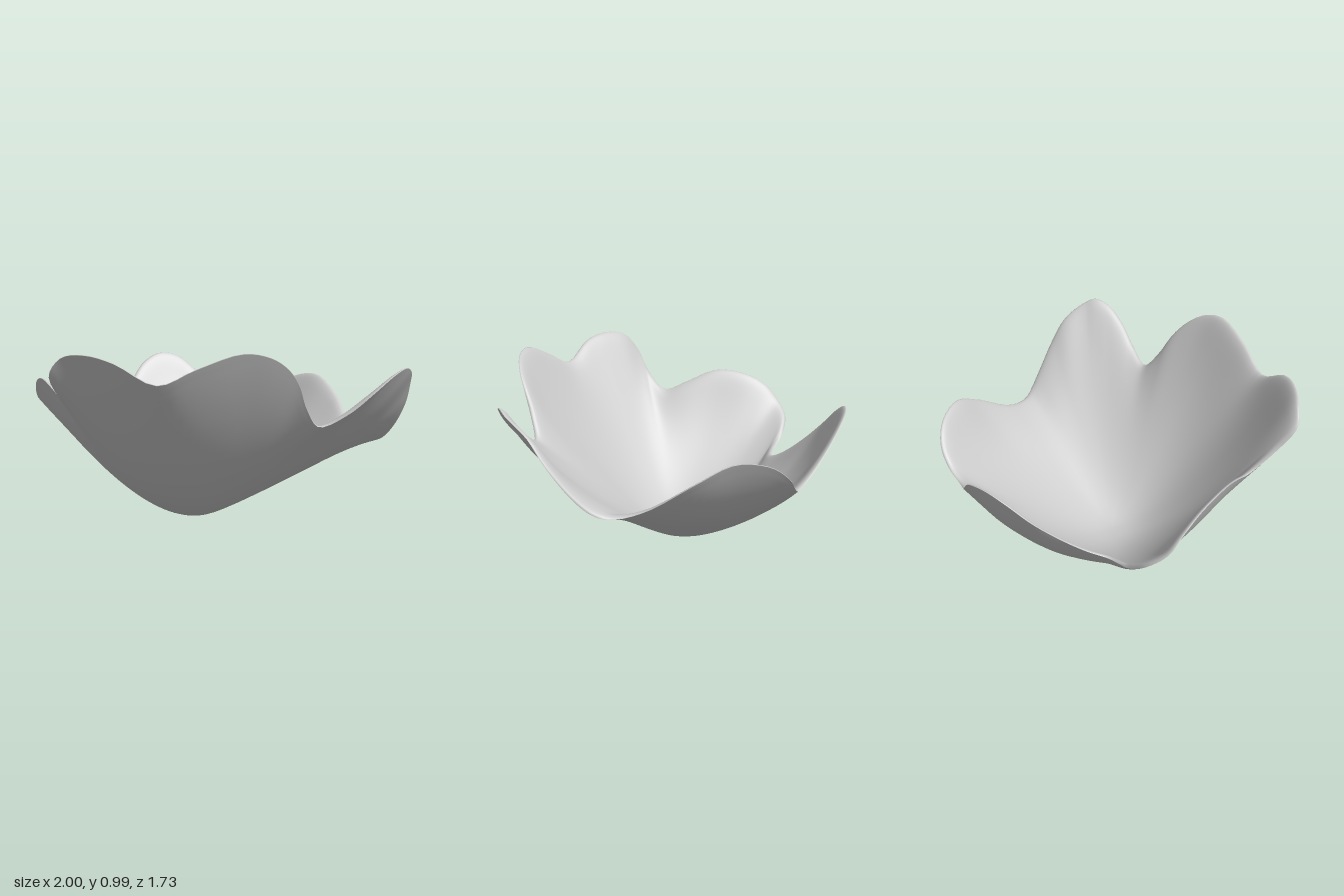
import * as THREE from 'three';
import { mergeVertices } from 'three/addons/utils/BufferGeometryUtils.js';

// Points along the wavy rim: from the left petal round by the front, right and back.
const RIM = [
  [1, 0.84, 0], [0.99, 0.865, 0.06], [0.95, 0.84, 0.13], [0.87, 0.76, 0.2], [0.76, 0.66, 0.25], [0.635, 0.6, 0.3],
  // front petal with two crests
  [0.595, 0.7, 0.38], [0.58, 0.82, 0.45], [0.55, 0.91, 0.53], [0.49, 0.97, 0.61], [0.39, 0.99, 0.68],
  [0.2, 0.92, 0.755], [0.03, 0.845, 0.8], [-0.15, 0.94, 0.855], [-0.29, 0.97, 0.86], [-0.42, 0.95, 0.845],
  [-0.5, 0.86, 0.825], [-0.51, 0.73, 0.72], [-0.53, 0.635, 0.6],
  // right petal
  [-0.62, 0.675, 0.52], [-0.78, 0.745, 0.41], [-0.9, 0.72, 0.28], [-0.97, 0.66, 0.19], [-1, 0.58, 0.12],
  [-0.97, 0.5, 0.03], [-0.88, 0.42, -0.03], [-0.77, 0.36, -0.065], [-0.7, 0.34, -0.11],
  // back right petal
  [-0.69, 0.38, -0.2], [-0.7, 0.47, -0.32], [-0.715, 0.6, -0.46], [-0.69, 0.69, -0.56], [-0.63, 0.735, -0.65],
  [-0.54, 0.715, -0.72], [-0.4, 0.6, -0.75], [-0.25, 0.48, -0.76], [-0.12, 0.43, -0.785],
  // back left petal
  [-0.04, 0.46, -0.83], [0.05, 0.54, -0.865], [0.17, 0.62, -0.85], [0.32, 0.645, -0.775], [0.46, 0.56, -0.67],
  [0.6, 0.42, -0.49], [0.72, 0.385, -0.39],
  // back edge of the left petal
  [0.79, 0.41, -0.345], [0.865, 0.495, -0.285], [0.94, 0.64, -0.2], [0.975, 0.76, -0.12],
];
// Steepness of the wall by direction in degrees, turning from +x towards +z.
const STEEPNESS = [
  [0, 0.57], [22, 0.83], [45, 1.1], [68, 1.18], [90, 1.2], [125, 1.05], [150, 0.95],
  [172, 0.65], [188, 0.56], [205, 0.6], [231, 0.62], [252, 0.56], [270, 0.52], [290, 0.49], [310, 0.47], [335, 0.44],
];
const COLS = 188, ROWS = 32;
const BASE_X = -0.1; // lowest point of the bowl
const WALL = 0.025;

// Joins rings of vertices, closed around, into a triangle list.
function ringGeometry(points) {
  const index = [];
  for (let j = 0; j < points.length / COLS - 1; j++) {
    for (let i = 0; i < COLS; i++) {
      const k = (i + 1) % COLS;
      const a = j * COLS + i, b = a + COLS, c = j * COLS + k, d = c + COLS;
      index.push(a, b, c, b, d, c);
    }
  }
  const geo = new THREE.BufferGeometry().setFromPoints(points);
  geo.setIndex(index);
  return geo;
}

// Smoothly weighted steepness for a direction.
function steepness(degrees) {
  let sum = 0, total = 0;
  for (const [angle, k] of STEEPNESS) {
    const d = Math.abs(THREE.MathUtils.euclideanModulo(degrees - angle + 180, 360) - 180);
    const w = Math.exp(-0.5 * (d / 14) ** 2);
    sum += w * k;
    total += w;
  }
  return sum / total;
}

// Height of the smooth bowl below the petals' curled lips, rounded off at the base.
function bodyHeight(dx, dz) {
  const r = Math.hypot(dx, dz);
  if (r === 0) return 0;
  const k = steepness(THREE.MathUtils.radToDeg(Math.atan2(dz, dx)));
  const power = 1.22 + 0.2 * (k - 0.44) - 0.2 * dx / r + 0.1 * dz / r;
  return k * Math.pow(1.13 * (Math.hypot(r, 0.12) - 0.12), power);
}

// Average of a closed row of values around one column.
function blurred(values, i, width) {
  let sum = 0, total = 0;
  for (let s = -Math.ceil(2 * width); s <= 2 * width; s++) {
    const w = Math.exp(-0.5 * (s / (width + 0.01)) ** 2);
    sum += w * values[(i + s + COLS) % COLS];
    total += w;
  }
  return sum / total;
}

function bowlGeometry() {
  const curve = new THREE.CatmullRomCurve3(RIM.map((p) => new THREE.Vector3(...p)), true, 'centripetal');
  const rim = Array.from({ length: COLS }, (_, i) => curve.getPoint(i / COLS));
  const lift = rim.map((p) => p.y - bodyHeight(p.x - BASE_X, p.z));

  // outside wall: smooth bowl, with the lip lifted or lowered to meet the rim
  const fractions = Array.from({ length: ROWS + 1 }, (_, j) => Math.sin((j / ROWS) * Math.PI / 2));
  const outer = fractions.flatMap((f) => rim.map((p, i) => {
    const dx = (p.x - BASE_X) * f, dz = p.z * f;
    const y = bodyHeight(dx, dz) + blurred(lift, i, 14 * (1 - f)) * Math.pow(f, 6);
    return new THREE.Vector3(BASE_X + dx, y, dz);
  }));
  const shell = ringGeometry(outer);
  shell.computeVertexNormals();
  const normals = shell.attributes.normal;

  // inside wall: the outside pushed in, thinning to a rounded lip
  const all = outer.slice();
  for (let j = ROWS - 1; j >= 0; j--) {
    const t = WALL * Math.sqrt(1 - Math.pow(fractions[j], 40));
    for (let i = 0; i < COLS; i++) {
      const n = new THREE.Vector3(0, -1, 0);
      if (j > 0) n.fromBufferAttribute(normals, j * COLS + i);
      all.push(outer[j * COLS + i].clone().addScaledVector(n, -t));
    }
  }
  const geo = mergeVertices(ringGeometry(all), 1e-5);
  geo.computeVertexNormals();
  return geo;
}

export function createModel() {
  const group = new THREE.Group();
  group.name = 'petalBowl';
  const material = new THREE.MeshStandardMaterial({ color: 0xcccccc, side: THREE.DoubleSide });
  const bowl = new THREE.Mesh(bowlGeometry(), material);
  bowl.name = 'bowl';
  group.add(bowl);
  return group;
}
